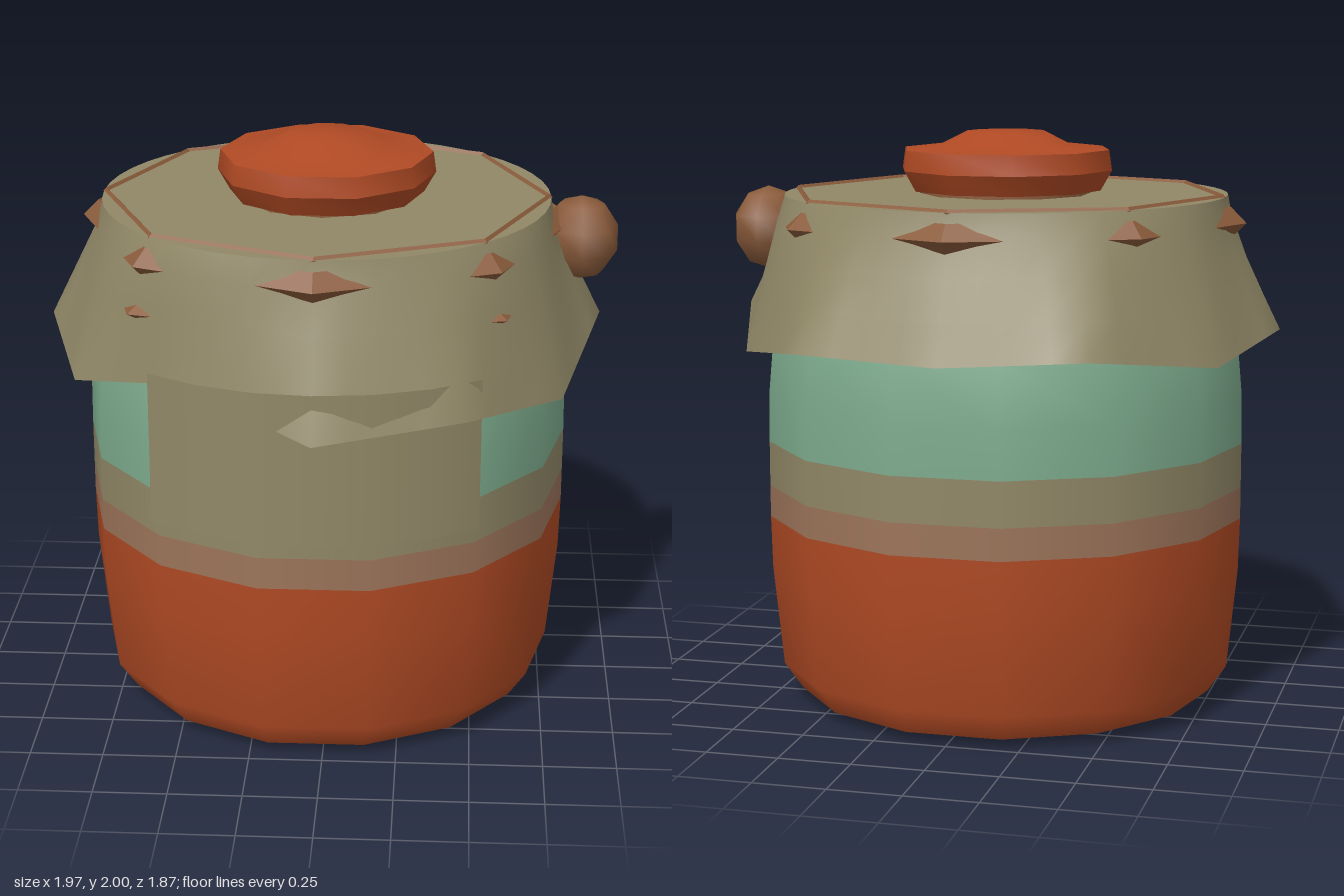
import * as THREE from 'three';
import { toCreasedNormals } from 'three/addons/utils/BufferGeometryUtils.js';

const paint = (name, color, side = THREE.FrontSide) => {
  const m = new THREE.MeshStandardMaterial({ color, side });
  m.name = name;
  return m;
};

// Cloth cover: round rim and shoulder falling to a twelve-cornered uneven hem
function clothGeometry(hem) {
  const per = 4, n = hem.length * per, pos = [], idx = [];
  const rings = 4;
  for (let i = 0; i < n; i++) {
    const a = (i / n) * Math.PI * 2, k = Math.floor(i / per);
    const edge = new THREE.Vector3(...hem[k]).lerp(new THREE.Vector3(...hem[(k + 1) % hem.length]), (i % per) / per);
    const around = (r, y) => new THREE.Vector3(Math.sin(a) * r, y, Math.cos(a) * r);
    const shoulder = around(0.796 - 0.012 * Math.cos(4 * a), 1.7);
    pos.push(...around(0.77, 1.782));
    for (let j = 0; j < rings; j++) pos.push(...shoulder.clone().lerp(edge, j / (rings - 1)));
  }
  const row = rings + 1;
  for (let i = 0; i < n; i++) {
    for (let j = 0; j < rings; j++) {
      const a = i * row + j, b = ((i + 1) % n) * row + j;
      idx.push(a, a + 1, b, b, a + 1, b + 1);
    }
  }
  const g = new THREE.BufferGeometry();
  g.setAttribute('position', new THREE.Float32BufferAttribute(pos, 3));
  g.setIndex(idx);
  g.computeVertexNormals();
  return g;
}

export function createModel() {
  const orange = paint('burnt orange', 0xb04a24);
  const green = paint('sage green', 0x7dab8d);
  const tan = paint('olive tan', 0x918867, THREE.DoubleSide);
  const blush = paint('dusty brown', 0x9c745a);
  const brown = paint('wood brown', 0x8a5b3b);

  const model = new THREE.Group();
  model.name = 'jar';
  const jar = new THREE.Group();
  jar.name = 'jarParts';
  jar.position.set(-0.024, 0, -0.019);
  model.add(jar);

  const add = (name, geometry, material, x = 0, y = 0, z = 0) => {
    const mesh = new THREE.Mesh(geometry, material);
    mesh.name = name;
    mesh.position.set(x, y, z);
    jar.add(mesh);
    return mesh;
  };
  const lathe = (pts, sides, start = 0) =>
    new THREE.LatheGeometry(pts.map(([r, y]) => new THREE.Vector2(r, y)), sides, start);
  const flat = (g) => {
    const f = g.index ? g.toNonIndexed() : g;
    f.computeVertexNormals();
    return f;
  };

  // Jar body in coloured bands
  const bands = [
    ['base', orange, [[0, 0], [0.54, 0], [0.735, 0.035]]],
    ['lowerBody', orange, [[0.735, 0.035], [0.8, 0.13], [0.835, 0.48], [0.84, 0.665]]],
    ['dustyBand', blush, [[0.84, 0.665], [0.84, 0.775]]],
    ['tanBand', tan, [[0.84, 0.775], [0.84, 0.93]]],
    ['upperBody', green, [[0.84, 0.93], [0.838, 1.1], [0.82, 1.3], [0.76, 1.5], [0.65, 1.68], [0, 1.72]]],
  ];
  for (const [name, mat, pts] of bands) add(name, lathe(pts, 14, Math.PI / 2), mat);

  // Cloth cover and its flat top
  add('clothCover', clothGeometry([
    [0, 1.22, 0.95], [0.49, 1.265, 0.82], [0.81, 1.22, 0.47], [0.95, 1.37, 0],
    [0.8, 1.26, -0.46], [0.49, 1.32, -0.85], [0, 1.305, -0.92], [-0.49, 1.33, -0.85],
    [-0.83, 1.27, -0.48], [-0.965, 1.335, 0], [-0.82, 1.255, 0.47], [-0.44, 1.35, 0.75],
  ]), tan);
  add('clothTop', new THREE.CircleGeometry(0.77, 48).rotateX(-Math.PI / 2), tan, 0, 1.782);

  // Eight-sided cords: one around the shoulder, a thin one on the rim
  const cord = (r, tube) => flat(new THREE.TorusGeometry(r, tube, 4, 8).rotateX(Math.PI / 2));
  add('shoulderCord', cord(0.79, 0.054), brown, 0, 1.695);
  add('rimCord', cord(0.762, 0.012), brown, 0, 1.78);

  // Small cord tips showing through the cloth at the front corners
  for (const s of [-1, 1]) {
    const tip = add(s > 0 ? 'cordTipLeft' : 'cordTipRight', flat(new THREE.OctahedronGeometry(1)), brown,
      s * 0.585, 1.54, 0.585);
    tip.scale.set(0.075, 0.026, 0.045);
    tip.rotation.y = s * Math.PI / 4;
  }

  // Bead on the left side
  add('bead', new THREE.SphereGeometry(0.148, 8, 5), brown, 0.875, 1.64).scale.set(0.9, 1, 0.95);

  // Lid knob
  const knob = lathe([[0, 1.785], [0.335, 1.795], [0.375, 1.865], [0.365, 1.935], [0.23, 1.95],
    [0.14, 1.995], [0, 2]], 10, Math.PI / 2);
  add('lidKnob', toCreasedNormals(knob, Math.PI / 5), orange);
  add('knobNeck', new THREE.CylinderGeometry(0.3, 0.3, 0.03, 10), brown, 0, 1.785);

  // Curved front label
  const span = 1.27;
  add('frontLabel', new THREE.CylinderGeometry(0.911, 0.911, 0.52, 6, 1, true, -span / 2, span), tan, 0, 1.12);

  return model;
}
